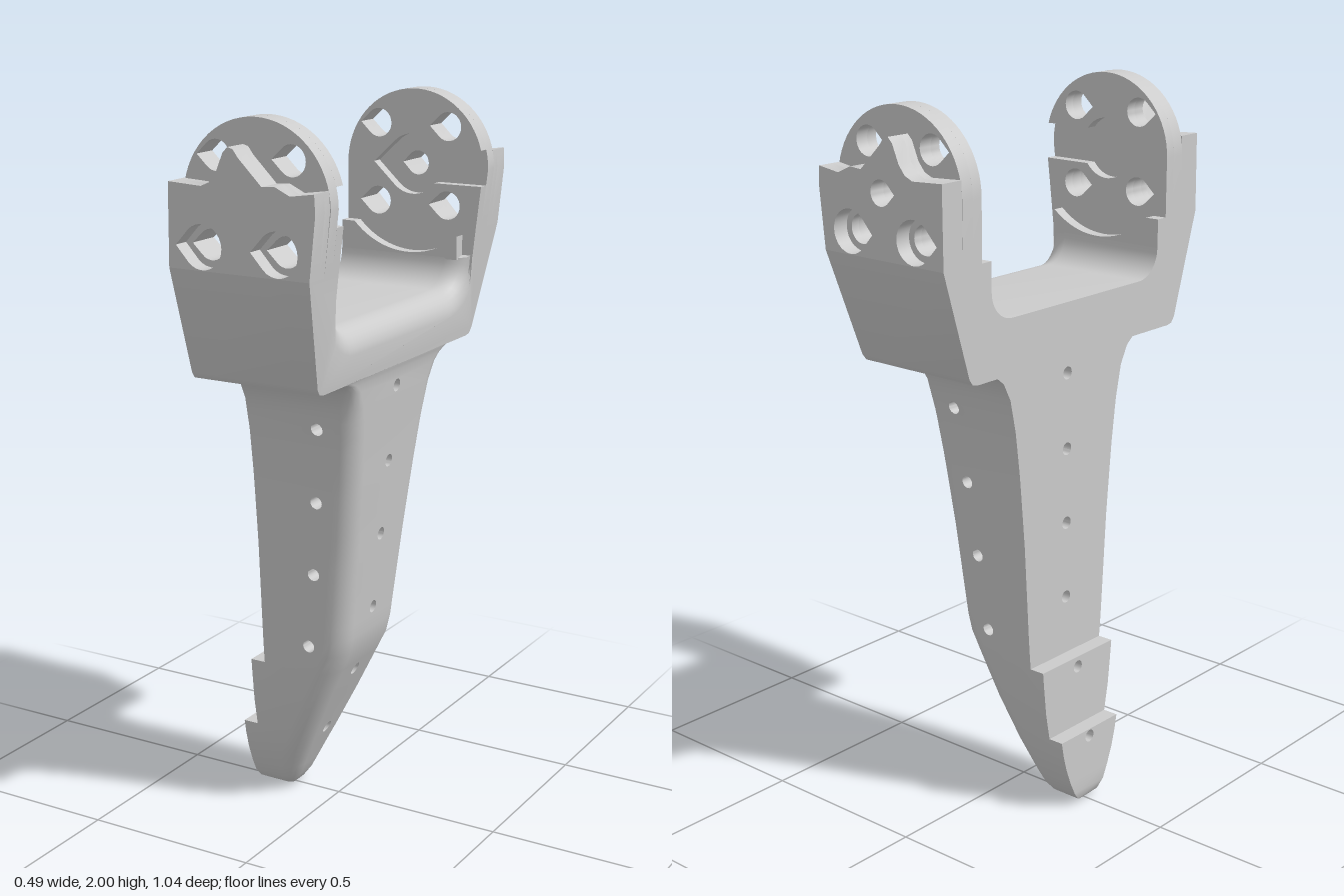
import * as THREE from 'three';
import { toCreasedNormals } from 'three/addons/utils/BufferGeometryUtils.js';

const V2 = (x, y) => new THREE.Vector2(x, y);
const lerp = THREE.MathUtils.lerp;
const grey = new THREE.MeshStandardMaterial({ color: 0xcccccc });
const greyDouble = new THREE.MeshStandardMaterial({ color: 0xcccccc, side: THREE.DoubleSide });

function addMesh(parent, name, geometry, material = grey) {
  const mesh = new THREE.Mesh(toCreasedNormals(geometry, 0.6), material);
  mesh.name = name;
  parent.add(mesh);
}

function fromPositions(list) {
  const g = new THREE.BufferGeometry();
  g.setAttribute('position', new THREE.Float32BufferAttribute(list, 3));
  return g;
}

// piecewise linear lookup in [[key, value], ...]
function lookup(table, k) {
  for (let i = 1; i < table.length; i++) {
    const [a, va] = table[i - 1], [b, vb] = table[i];
    if (k <= b) return lerp(va, vb, (k - a) / (b - a));
  }
  return table[table.length - 1][1];
}

// sloping front edge shared by the leg, yoke and arms
const frontX = (y) => 0.10 + 0.108 * (y - 0.5);

// ---- leg: rounded sections stacked in y, drilled both ways ----
const LEG_FRONT = [[0, -0.15], [0.01, -0.135], [0.04, -0.114], [0.08, -0.095], [0.5, 0.1], [1.32, frontX(1.32)]];
const LEG_WIDTH = [[0, 0.004], [0.004, 0.025], [0.015, 0.043], [0.04, 0.064], [0.08, 0.083], [0.13, 0.102],
  [0.178, 0.115], [0.22, 0.123], [0.3, 0.138], [0.4, 0.149], [0.5, 0.158], [0.8, 0.177], [1, 0.196], [1.13, 0.213],
  [1.225, 0.234], [1.275, 0.26], [1.295, 0.285], [1.305, 0.31], [1.312, 0.34]];
const LEG_BACK = [[0, -0.225], [0.015, -0.24], [0.04, -0.245], [0.22, -0.245]];
const CORNER = 5;

function legRing(y, back) {
  const xf = lookup(LEG_FRONT, y), w = lookup(LEG_WIDTH, y), r = Math.min(0.06, 0.6 * w);
  const half = [V2(back, w)];
  for (let i = 0; i <= CORNER; i++) {
    const a = (i / CORNER) * Math.PI / 2;
    half.push(V2(xf - r + r * Math.sin(a), w - r + r * Math.cos(a)));
  }
  const all = half.concat(half.slice().reverse().map((p) => V2(p.x, -p.y)));
  return all.map((p) => new THREE.Vector3(p.x, y, p.y));
}

function buildLeg(parent) {
  const holes = [1.25, 1.035, 0.82, 0.6, 0.4].map((y) => ({ y, axis: 'z', c: 0 }));
  holes.push({ y: 0.199, axis: 'z', c: 0 });
  [[0.06, 1.16], [0.04, 0.945], [0.02, 0.73], [-0.005, 0.51]].forEach(([c, y]) => holes.push({ y, axis: 'x', c }));

  const ys = [0, 0.004, 0.015, 0.04, 0.08, 0.13, 0.178, 0.22, 0.3, 0.43, 0.67, 0.88, 1.1, 1.295, 1.305, 1.312];
  holes.forEach((h) => { if (h.y > 0.2) ys.push(h.y - 0.025, h.y + 0.025); });
  ys.sort((a, b) => a - b);
  const rings = [];
  for (const y of ys) {
    if (y <= 0.22) rings.push(legRing(y, lookup(LEG_BACK, y)));
    if (y >= 0.22 && y <= 0.43) rings.push(legRing(y, -0.2));
    if (y >= 0.43) rings.push(legRing(y, -0.155));
  }

  const n = rings[0].length, wall = [], bores = [];
  const facets = { x: [0, n - 2], z: [CORNER + 1, n - 1] };
  for (let i = 0; i + 1 < rings.length; i++) {
    const lo = rings[i], hi = rings[i + 1], y0 = lo[0].y, y1 = hi[0].y;
    const at = (k, u, v) => {
      const m = (k + 1) % n;
      return lo[k].clone().lerp(lo[m], u).lerp(hi[k].clone().lerp(hi[m], u), v);
    };
    const hole = holes.find((h) => h.y > y0 && h.y < y1);
    const rims = [];
    for (let k = 0; k < n; k++) {
      const shape = new THREE.Shape([V2(0, 0), V2(1, 0), V2(1, 1), V2(0, 1)]);
      if (hole && facets[hole.axis].includes(k)) {
        const rim = [];
        for (let s = 0; s < 16; s++) {
          const a = (s / 16) * Math.PI * 2, v = (hole.y + 0.018 * Math.sin(a) - y0) / (y1 - y0);
          const from = at(k, 0, v)[hole.axis], to = at(k, 1, v)[hole.axis];
          rim.push(V2((hole.c + 0.018 * Math.cos(a) - from) / (to - from), v));
        }
        shape.holes.push(new THREE.Path(rim));
        rims.push(rim.map((p) => at(k, p.x, p.y)));
      }
      const p = new THREE.ShapeGeometry(shape).toNonIndexed().attributes.position;
      for (let j = 0; j < p.count; j++) wall.push(...at(k, p.getX(j), p.getY(j)).toArray());
    }
    if (rims.length === 2) {
      const [a, b] = rims;
      for (let s = 0; s < 16; s++) {
        const m = (s + 1) % 16;
        [a[s], a[m], b[m], a[s], b[m], b[s]].forEach((q) => bores.push(...q.toArray()));
      }
    }
  }
  addMesh(parent, 'leg', fromPositions(wall));
  addMesh(parent, 'legBores', fromPositions(bores), greyDouble);
}

// ---- yoke: U outline swept along x, inner rim rounded towards +x ----
function buildYoke(parent) {
  const side = [V2(0.4, 1.31), V2(0.418, 1.314), V2(0.43, 1.33), V2(0.52, 1.62), V2(0.38, 1.62), V2(0.38, 1.545)];
  for (let i = 0; i <= 8; i++) {
    const a = (i / 8) * Math.PI / 2;
    side.push(V2(0.265 + 0.08 * Math.cos(a), 1.54 - 0.08 * Math.sin(a)));
  }
  const outline = side.concat(side.slice().reverse().map((p) => V2(-p.x, p.y)));
  const steps = 8, rim = 0.07;
  const g = new THREE.ExtrudeGeometry(new THREE.Shape(outline), { depth: 1, steps, bevelEnabled: false });
  const p = g.attributes.position;
  for (let i = 0; i < p.count; i++) {
    let z = Math.abs(p.getX(i)), y = p.getY(i);
    const sign = Math.sign(p.getX(i)), step = Math.round(p.getZ(i) * steps);
    const a = (Math.max(step - 1, 0) / (steps - 1)) * Math.PI / 2;
    const x = step === 0 ? -0.19 : frontX(y) - rim * (1 - Math.sin(a));
    if (step > 0 && z < 0.346 && y > 1.4) {
      const dir = V2(z - 0.265, y - 1.54).normalize().multiplyScalar(rim * (1 - Math.cos(a)));
      z = Math.min(z + dir.x, 0.379);
      y += dir.y;
    }
    p.setXYZ(i, x, y, -sign * z);
  }
  addMesh(parent, 'yoke', g);
}

// ---- arms: layered drilled plates ----
function teardrop(x, y, r, tip = 1.45) {
  const pts = [V2(x - r * tip, y)];
  for (let i = 0; i <= 20; i++) {
    const a = (-0.75 + 1.5 * i / 20) * Math.PI;
    pts.push(V2(x + r * Math.cos(a), y + r * Math.sin(a)));
  }
  return new THREE.Path(pts);
}

function arc(cx, cy, r, a0, a1, n = 32) {
  return Array.from({ length: n + 1 }, (_, i) => {
    const a = lerp(a0, a1, i / n);
    return V2(cx + r * Math.cos(a), cy + r * Math.sin(a));
  });
}

function buildArm(parent, sign) {
  const arm = new THREE.Group();
  arm.name = sign > 0 ? 'frontArm' : 'backArm';
  parent.add(arm);
  const layer = (name, pts, holes, z0, z1) => {
    const shape = new THREE.Shape(pts);
    shape.holes.push(...holes);
    const g = new THREE.ExtrudeGeometry(shape, { depth: z1 - z0, bevelEnabled: false });
    g.translate(0, 0, sign > 0 ? z0 : -z1);
    addMesh(arm, name, g);
  };
  const cx = 0.025, cy = 1.785, R = 0.215, C = V2(0.02, 1.79);
  const foot = [V2(-0.19, 1.62), V2(frontX(1.62), 1.62)];
  const top = [[-0.09, 1.9], [0.13, 1.9]], low = [[-0.09, 1.68], [0.13, 1.68]];
  const drill = (list, r) => list.map(([x, y]) => teardrop(x, y, r));
  // only the back arm has a centre hole
  const centre = () => (sign < 0 ? [teardrop(C.x, C.y, 0.034, 1.4)] : []);

  // inner layer with a pointed slot open to the +x edge
  const slot = [...arc(C.x, C.y, 0.085, -0.63, -2.3, 10), V2(C.x - 0.125, C.y), ...arc(C.x, C.y, 0.085, 2.3, 0.63, 10)];
  layer('slottedPlate', [...foot, V2(0.235, 1.74), ...slot, ...arc(cx, cy, R, 0.258, Math.PI)],
    drill([...top, ...low], 0.04), 0.38, 0.412);
  layer('discPlate', [...foot, ...arc(cx, cy, R, 0, Math.PI)],
    [...drill([...top, ...low], 0.04), ...centre()], 0.412, 0.45);

  // outer pad with peaked top edge and wide lower recesses
  const crest = [[0.235, 1.835], [0.167, 1.825], [0.124, 1.845], [0.087, 1.842], [0.02, 1.908], [0.005, 1.928],
    [-0.01, 1.932], [-0.024, 1.918], [-0.045, 1.868], [-0.065, 1.843], [-0.09, 1.832], [-0.188, 1.837]].map(([x, y]) => V2(x, y));
  const pad = [...foot, V2(0.238, 1.785), ...crest];
  layer('padInner', pad, [...drill(low, 0.04), ...centre()], 0.45, 0.475);
  layer('padOuter', pad, [...low.map(([x, y]) => teardrop(x, y, 0.058, 1.35)), ...centre()], 0.475, 0.52);

  // curved lip under the disc
  layer('lip', [V2(-0.19, 1.535), V2(0.18, 1.535), ...arc(cx, cy, 0.24, -0.87, -2.38, 20), V2(-0.19, 1.62)], [], 0.345, 0.38);
}

export function createModel() {
  const model = new THREE.Group();
  model.name = 'forkedBracket';
  buildLeg(model);
  buildYoke(model);
  [1, -1].forEach((s) => buildArm(model, s));
  return model;
}
